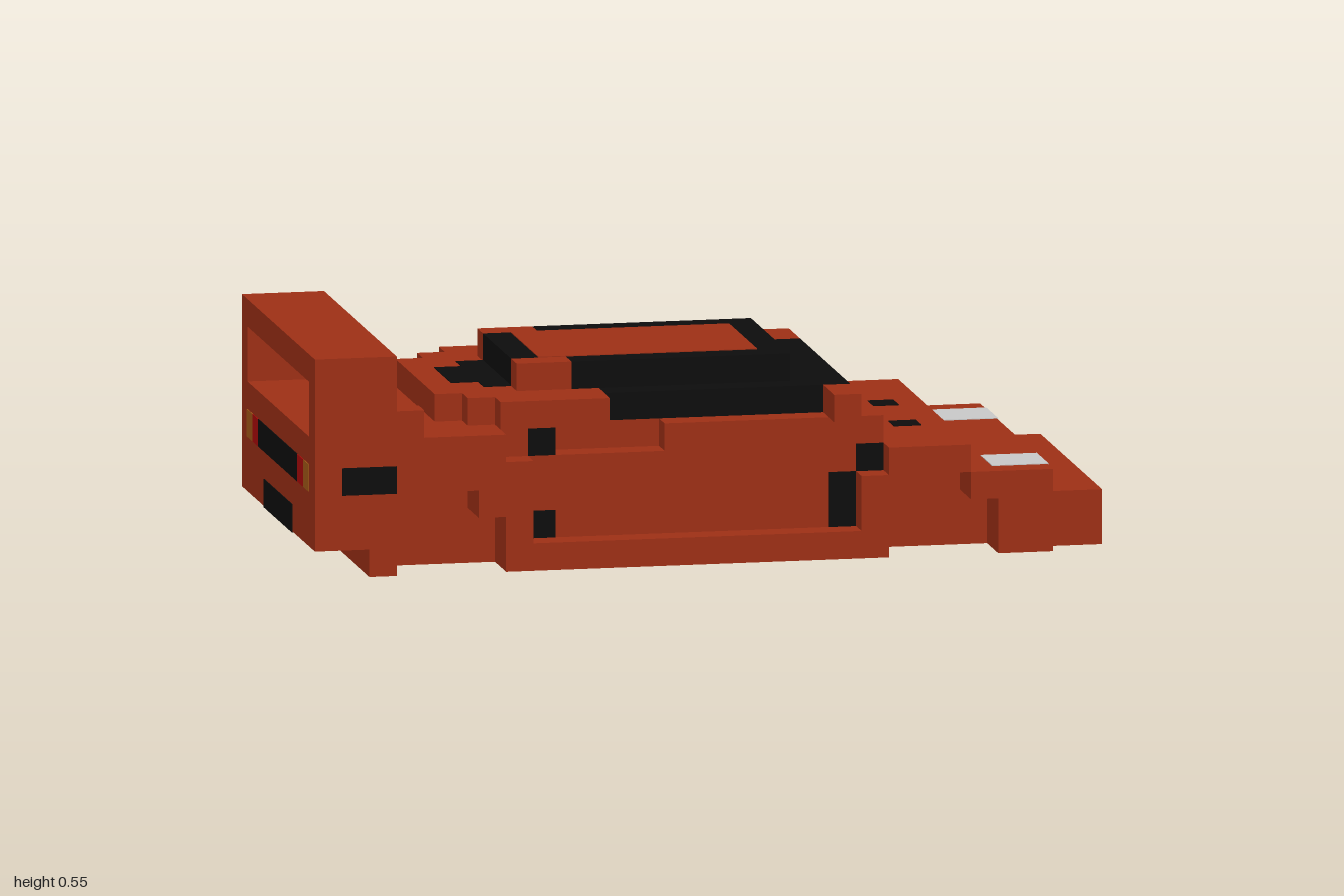
import * as THREE from 'three';

// Grid of cubes: 29 long (x), 8 high (y), 13 wide (z)
const U = 2 / 29;
const E = 0.03; // small proud offset for painted blocks, in cubes

const mat = (color) => new THREE.MeshStandardMaterial({ color, flatShading: true });

export function createModel() {
  const model = new THREE.Group();
  model.name = 'blockCar';
  const paint = mat(0xa03016), black = mat(0x0d0d0d), grey = mat(0xcccccc);
  const red = mat(0xb00808), amber = mat(0xa85a18);

  // Box spanning cube indices [x0,x1] [y0,y1] [z0,z1], grown by g on all sides
  function box(name, m, x0, x1, y0, y1, z0, z1, g = 0) {
    const geo = new THREE.BoxGeometry((x1 - x0 + 2 * g) * U, (y1 - y0 + 2 * g) * U, (z1 - z0 + 2 * g) * U);
    const mesh = new THREE.Mesh(geo, m);
    mesh.position.set(((x0 + x1) / 2 - 14.5) * U, ((y0 + y1) / 2) * U, ((z0 + z1) / 2 - 6.5) * U);
    mesh.name = name;
    model.add(mesh);
  }
  // Same box on both sides of the car
  function pair(name, m, x0, x1, y0, y1, z0, z1, g = 0) {
    box(name + 'Left', m, x0, x1, y0, y1, 13 - z1, 13 - z0, g);
    box(name + 'Right', m, x0, x1, y0, y1, z0, z1, g);
  }

  // Central body, stepping down to the nose
  box('rearBody', paint, 0, 2, 1, 5, 2, 11);
  box('mainBody', paint, 2, 21, 0, 5, 2, 11);
  box('bonnet', paint, 21, 24, 0, 4, 2, 11);
  box('frontDeck', paint, 24, 27, 0, 3, 2, 11);
  box('nose', paint, 27, 29, 0, 2, 1, 12);

  // Rear fenders around stepped wheel arches
  pair('rearCorner', paint, 0, 3, 1, 5, 11, 13);
  pair('rearSkirt', paint, 2, 3, 0, 1, 11, 13);
  pair('rearArchTop', paint, 3, 7, 3, 5, 11, 13);
  pair('rearArchBack', paint, 3, 4, 2, 3, 11, 13);
  pair('rearArchFront', paint, 6, 7, 2, 3, 11, 13);
  pair('rearArchPost', paint, 7, 8, 0, 4, 11, 13);

  // Recessed doors with a side intake channel, and sills
  pair('door', paint, 8, 21, 0, 4, 11, 12);
  pair('doorTopFront', paint, 13, 21, 4, 5, 11, 12);
  pair('doorTopRear', paint, 7, 8, 4, 5, 11, 12);
  pair('sill', paint, 8, 20, 0, 1, 12, 13);
  pair('intake', black, 8, 9, 4, 5, 11, 12);
  pair('lowerVent', black, 8, 9, 1, 2, 11, 12 + E);
  pair('doorVent', black, 19, 20, 1, 3, 11, 12 + E);
  pair('fenderVent', black, 20, 21, 3, 4, 11, 12 + E);

  // Front fenders
  pair('frontArchPost', paint, 20, 21, 0, 3, 12, 13);
  pair('frontArchTop', paint, 21, 24, 3, 4, 11, 13);
  pair('frontArchBack', paint, 21, 22, 2, 3, 11, 13);
  pair('frontArchFront', paint, 24, 27, 2, 3, 11, 13);
  pair('frontCorner', paint, 25, 27, 0, 2, 11, 13);

  // Cabin: stepped engine cover, glass and roof
  box('coverTail', paint, 5, 6, 5, 6, 3, 10);
  box('coverMiddle', paint, 6, 7, 5, 6, 2, 11);
  box('coverFront', paint, 7, 11, 5, 6, 1, 12);
  box('lowerGlass', black, 11, 20, 5, 6, 2, 11);
  box('upperGlass', black, 10, 18, 6, 7, 3, 10);
  pair('rearPillar', paint, 8, 10, 6, 7, 9, 10);
  box('rearGlass', black, 8, 10, 6, 7, 4, 9);
  box('rearGlassStep', black, 7, 8, 5.5, 6 + E, 4, 9);
  box('rearGlassTail', black, 6, 7, 5.5, 6 + E, 5, 8);
  box('roof', paint, 9, 17, 6.5, 7 + E, 4, 9);
  pair('mirror', paint, 19, 20, 5, 6, 11, 13);

  // Rear wing
  box('wing', paint, 0, 3, 7, 8, 0, 13);
  pair('wingPlate', paint, 0, 3, 5, 7, 12, 13);
  pair('wingStep', paint, 3, 4, 5, 6, 12, 13);

  // Front details
  pair('headlight', grey, 25, 27, 2, 3, 10, 12, E);
  pair('bonnetVent', black, 22, 23, 3.5, 4 + E, 8, 9);
  box('frontGrille', black, 28.5, 29 + E, 0.03, 1, 4, 9);
  pair('frontDuct', black, 28.5, 29 + E, 0.03, 1, 10, 11);

  // Rear details
  pair('sideVent', black, 1, 3, 3, 4, 12.5, 13 + E);
  box('rearGrille', black, -E, 0.5, 3, 4, 3, 10);
  pair('tailLight', red, -E, 0.5, 3, 4, 10, 11);
  pair('indicator', amber, -E, 0.5, 3, 4, 11, 12);
  box('diffuser', black, -E, 2, 1 - E, 2, 4, 9);

  return model;
}
